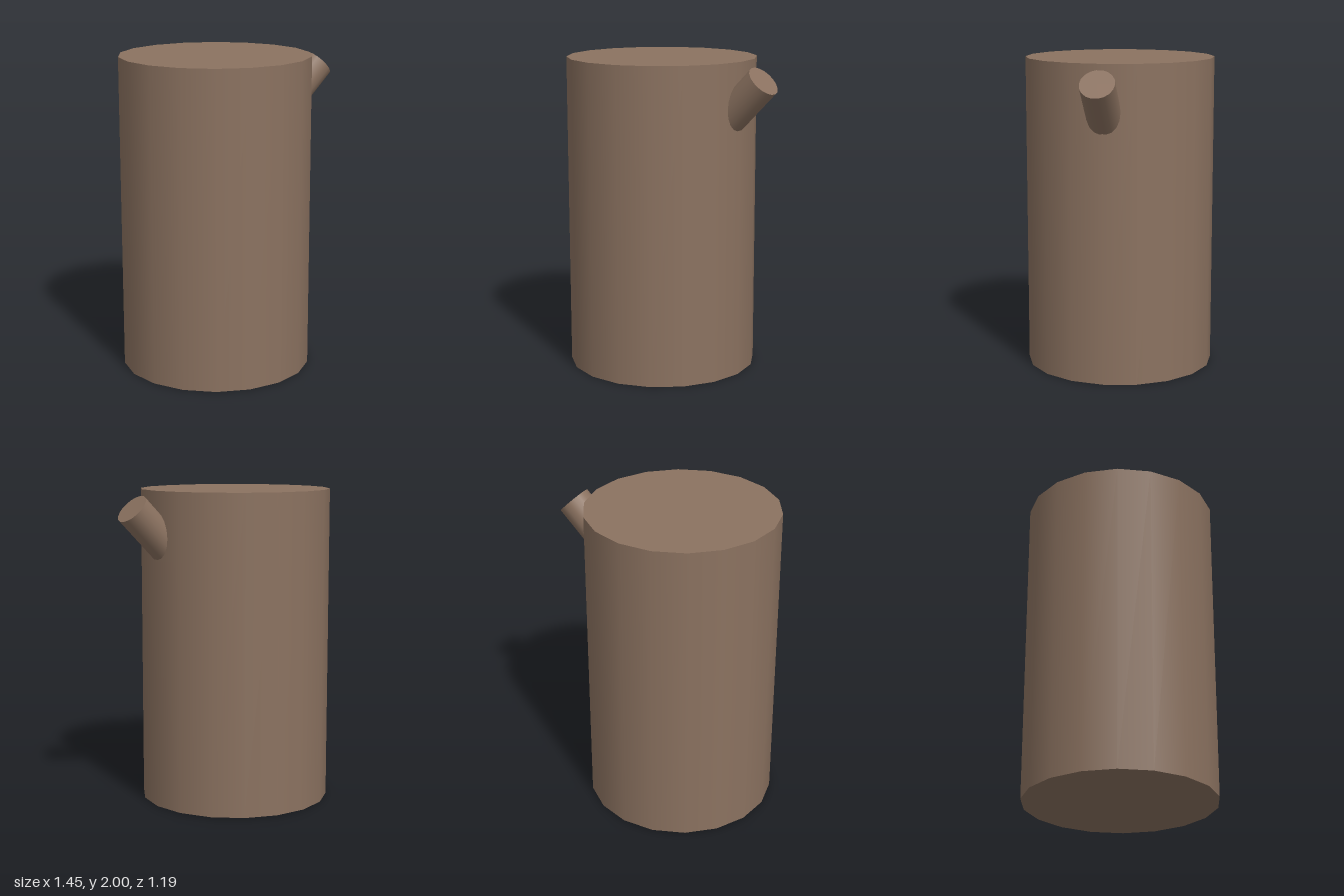
import * as THREE from 'three';

export function createModel() {
  const group = new THREE.Group();
  const bark = new THREE.MeshStandardMaterial({ color: 0x8b7260 });
  bark.name = 'bark brown';
  const sides = 18;

  // Upright log, with a corner of the polygon pointing along +x
  const trunk = new THREE.Mesh(
    new THREE.CylinderGeometry(0.605, 0.605, 2, sides, 1, false, Math.PI / 2), bark);
  trunk.name = 'trunk';
  trunk.position.set(-0.122, 1, 0);
  group.add(trunk);

  // Cut branch stub leaning out at 45 degrees, its base buried in the trunk
  const length = 0.5;
  const stubGeometry = new THREE.CylinderGeometry(0.108, 0.108, length, sides);
  stubGeometry.translate(0, -length / 2, 0);
  const stub = new THREE.Mesh(stubGeometry, bark);
  stub.name = 'branchStub';
  stub.position.set(0.648, 1.895, 0);
  stub.rotation.z = -Math.PI / 4;
  group.add(stub);

  return group;
}
